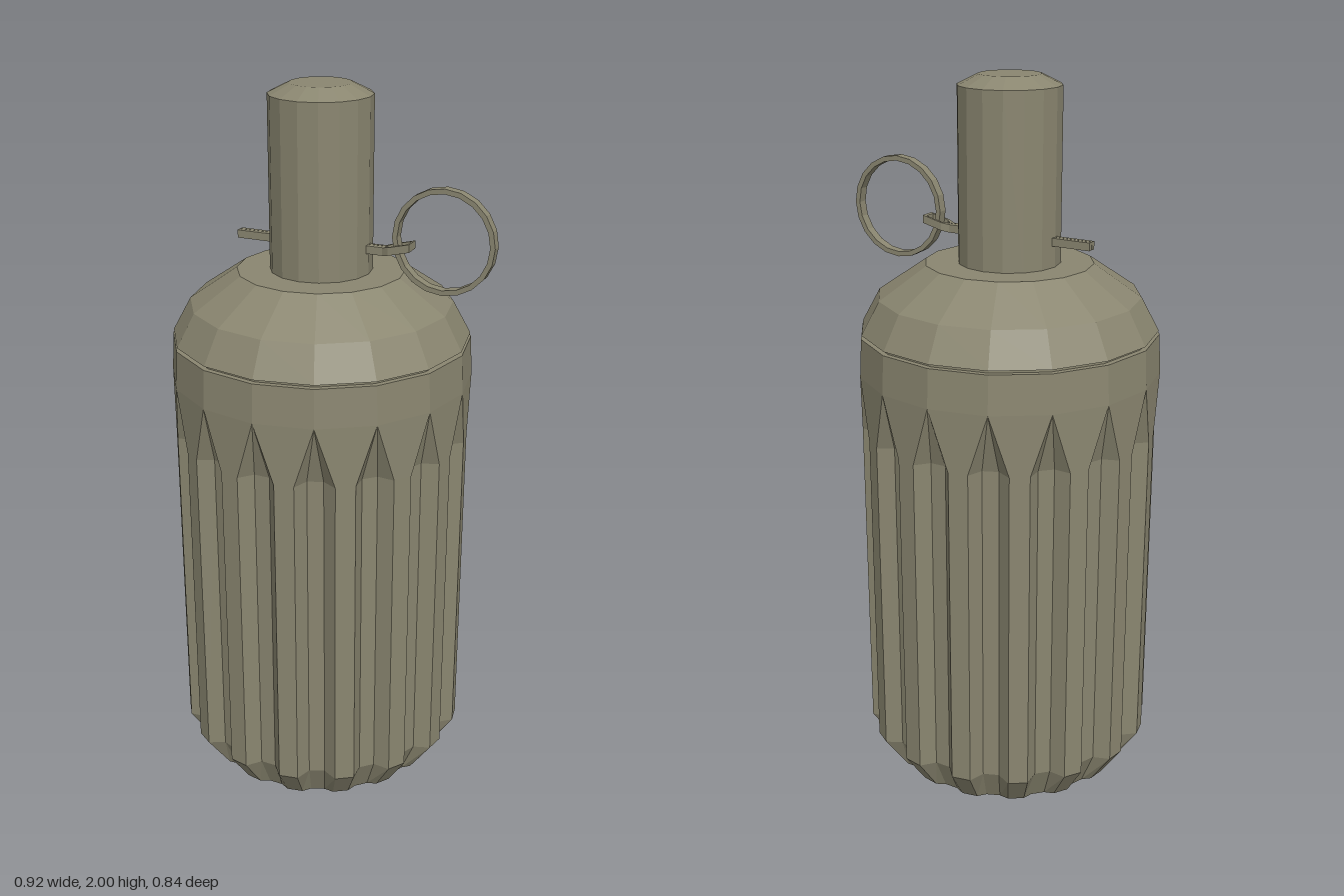
import * as THREE from 'three';

const SIDES = 16;
const AXIS_X = -0.04; // the ring sticks out, so the body sits off centre
const material = new THREE.MeshStandardMaterial({ color: 0x8a8670, flatShading: true });
const metal = material.clone();
metal.side = THREE.DoubleSide;

function part(name, geometry, mat = material) {
  const mesh = new THREE.Mesh(geometry, mat);
  mesh.name = name;
  return mesh;
}

function turned(name, profile) {
  return part(name, new THREE.LatheGeometry(profile.map(([r, y]) => new THREE.Vector2(r, y)), SIDES));
}

// One level of the fluted body: per flute two rib edges and two floor edges
function fluteRing(y, ribRadius, floorRadius) {
  const ring = [];
  for (let i = 0; i < SIDES; i++) {
    for (const [deg, r] of [[-7.5, ribRadius], [-3.4, floorRadius], [3.4, floorRadius], [7.5, ribRadius]]) {
      const a = (i / SIDES) * Math.PI * 2 + THREE.MathUtils.degToRad(deg);
      ring.push(new THREE.Vector3(r * Math.sin(a), y, r * Math.cos(a)));
    }
  }
  return ring;
}

// A plain level: each flute's four points meet at one corner
function plainRing(y, r) {
  const ring = [];
  for (let i = 0; i < SIDES * 4; i++) {
    const a = (Math.floor(i / 4) / SIDES) * Math.PI * 2;
    ring.push(new THREE.Vector3(r * Math.sin(a), y, r * Math.cos(a)));
  }
  return ring;
}

function loft(rings) {
  const positions = [];
  const tri = (a, b, c) => {
    if (a.equals(b) || b.equals(c) || a.equals(c)) return;
    for (const p of [a, b, c]) positions.push(p.x, p.y, p.z);
  };
  const n = rings[0].length;
  const base = new THREE.Vector3(0, rings[0][0].y, 0);
  for (let i = 0; i < n; i++) {
    const j = (i + 1) % n;
    tri(base, rings[0][j], rings[0][i]);
    for (let k = 0; k < rings.length - 1; k++) {
      const lo = rings[k], hi = rings[k + 1];
      tri(lo[i], lo[j], hi[j]);
      tri(lo[i], hi[j], hi[i]);
    }
  }
  const geometry = new THREE.BufferGeometry();
  geometry.setAttribute('position', new THREE.Float32BufferAttribute(positions, 3));
  geometry.computeVertexNormals();
  return geometry;
}

// Split pin: two legs with an eye at the end, bent slightly upwards
function cotterPin() {
  const half = [[-0.29, 0.001], [-0.29, 0.014], [0.145, 0.014], [0.165, 0.023], [0.225, 0.023]];
  const eye = [[0.217, 0.016], [0.167, 0.016], [0.15, 0.001]];
  const mirror = (pts) => pts.map(([x, z]) => [x, -z]).reverse();
  const outline = [...half, ...mirror(half), ...mirror(eye), ...eye];
  // legs run out, round the eye and back along the slit
  const shape = new THREE.Shape(outline.map(([x, z]) => new THREE.Vector2(x, z)));
  const geometry = new THREE.ExtrudeGeometry(shape, { depth: 0.022, bevelEnabled: false });
  geometry.rotateX(Math.PI / 2).translate(0, 1.581, 0);
  const p = geometry.attributes.position;
  for (let i = 0; i < p.count; i++) p.setY(i, p.getY(i) + Math.max(0, p.getX(i) - 0.14) * 0.25);
  geometry.computeVertexNormals();
  return part('safetyPin', geometry, metal);
}

// Flat band pull ring
function pullRing() {
  const profile = [[0.143, -0.014], [0.143, 0.014], [0.129, 0.014], [0.129, -0.014], [0.143, -0.014]];
  const geometry = new THREE.LatheGeometry(profile.map(([r, y]) => new THREE.Vector2(r, y)), 20);
  geometry.rotateX(Math.PI / 2);
  const ring = part('pullRing', geometry, metal);
  ring.position.set(0.316, 1.615, 0);
  return ring;
}

export function createModel() {
  const model = new THREE.Group();
  model.name = 'flutedCanister';

  const canister = new THREE.Group();
  canister.name = 'canister';
  canister.position.x = AXIS_X;
  canister.add(
    part('flutedBody', loft([
      fluteRing(0, 0.345, 0.33),
      fluteRing(0.1, 0.415, 0.375),
      fluteRing(1.03, 0.415, 0.375),
      plainRing(1.2, 0.422),
      plainRing(1.308, 0.416),
      plainRing(1.308, 0.4),
    ])),
    turned('seam', [[0.4, 1.3], [0.4, 1.322]]),
    turned('shoulder', [[0.4, 1.318], [0.414, 1.318], [0.364, 1.41], [0.232, 1.5], [0, 1.5]]),
    turned('neck', [[0.141, 1.49], [0.141, 1.972], [0.084, 2], [0, 2]]),
  );

  model.add(canister, cotterPin(), pullRing());
  return model;
}
